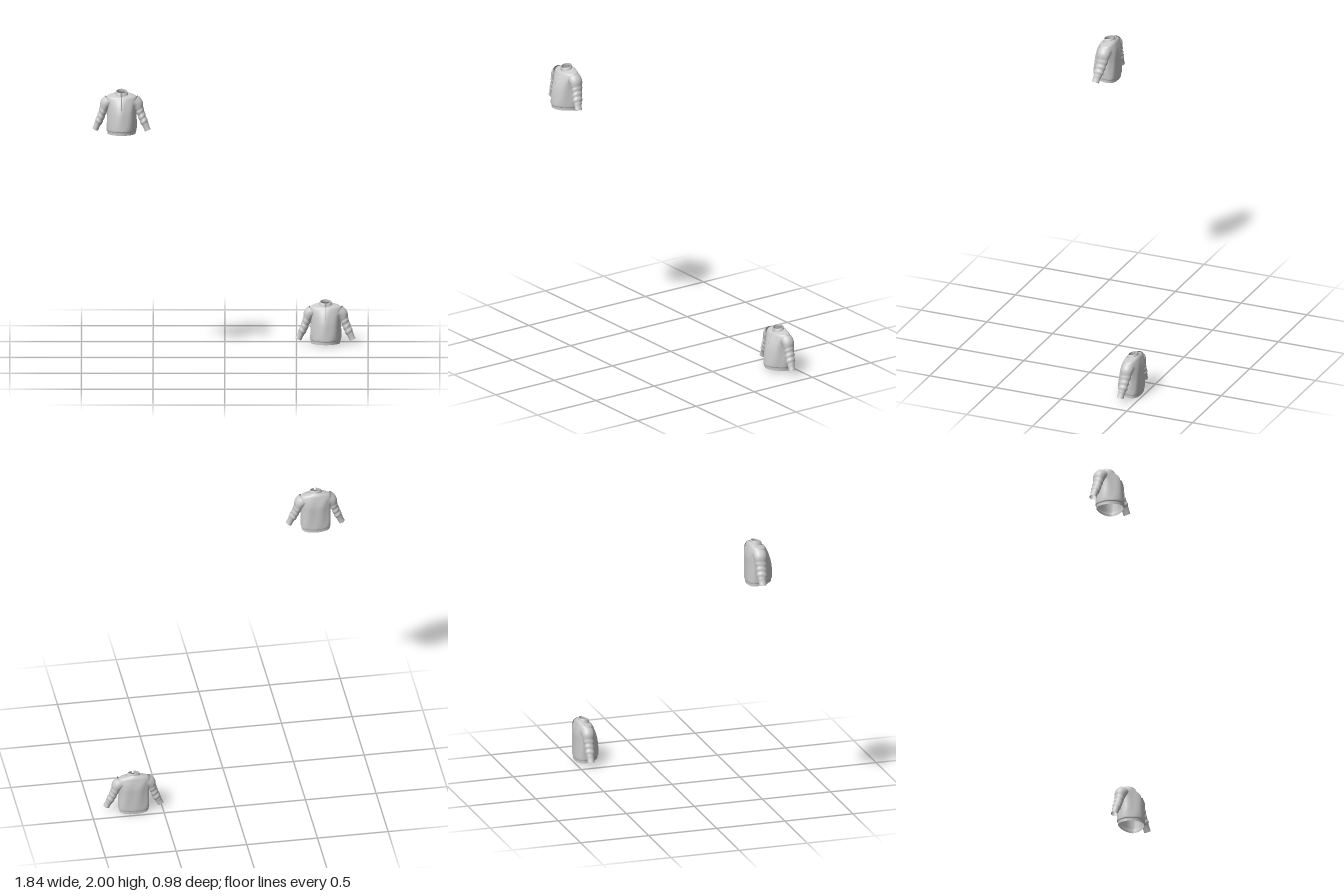
import * as THREE from 'three';

const material = new THREE.MeshStandardMaterial({ color: 0xcccccc, side: THREE.DoubleSide });

// Smooth interpolation through table rows, t in 0..1
function sample(rows, t) {
  const f = Math.min(Math.max(t, 0), 1) * (rows.length - 1);
  const i = Math.min(Math.floor(f), rows.length - 2), u = f - i;
  const at = k => rows[Math.min(Math.max(k, 0), rows.length - 1)];
  return rows[0].map((_, c) => {
    const [a, b, d, e] = [at(i - 1)[c], at(i)[c], at(i + 1)[c], at(i + 2)[c]];
    return b + 0.5 * u * (d - a + u * (2 * a - 5 * b + 4 * d - e + u * (3 * (b - d) + e - a)));
  });
}

// Skin of cross-sections: point(t, angle) -> Vector3; closed loops share their seam
function loft(name, point, rings, sides, from = 0, to = Math.PI * 2) {
  const closed = to - from > 6.28, cols = closed ? sides : sides + 1;
  const pos = [], index = [];
  for (let i = 0; i <= rings; i++) {
    for (let j = 0; j < cols; j++) pos.push(...point(i / rings, from + (to - from) * j / sides).toArray());
  }
  for (let i = 0; i < rings; i++) {
    for (let j = 0; j < sides; j++) {
      const k = (j + 1) % cols, a = i * cols + j, b = i * cols + k;
      index.push(a, a + cols, b, b, a + cols, b + cols);
    }
  }
  const g = new THREE.BufferGeometry();
  g.setAttribute('position', new THREE.Float32BufferAttribute(pos, 3));
  g.setIndex(index);
  g.computeVertexNormals();
  const mesh = new THREE.Mesh(g, material);
  mesh.name = name;
  return mesh;
}

// Rows: half width, back height, front height, back z, front z
const TORSO = [
  [0.099, -0.003, 0.012, -0.069, 0.107],
  [0.100, 0.018, 0.033, -0.070, 0.109],
  [0.105, 0.027, 0.042, -0.075, 0.115],
  [0.105, 0.080, 0.090, -0.075, 0.112],
  [0.102, 0.150, 0.155, -0.075, 0.103],
  [0.103, 0.200, 0.200, -0.075, 0.090],
  [0.107, 0.235, 0.233, -0.070, 0.076],
  [0.108, 0.262, 0.256, -0.063, 0.064],
  [0.098, 0.284, 0.268, -0.056, 0.057],
  [0.073, 0.295, 0.274, -0.048, 0.050],
  [0.046, 0.302, 0.278, -0.041, 0.043],
];
const COLLAR = [
  [0.046, 0.298, 0.274, -0.041, 0.043],
  [0.043, 0.307, 0.284, -0.040, 0.041],
  [0.038, 0.317, 0.300, -0.037, 0.036],
  [0.035, 0.316, 0.299, -0.034, 0.033],
  [0.037, 0.300, 0.278, -0.036, 0.036],
];

// Flat-backed oval section with a fuller front, rounder towards the neck
function section([w, yb, yf, zb, zf], angle, round) {
  const c = Math.cos(angle), s = Math.sin(angle);
  const z = s > 0 ? zf * s ** (1.3 - 0.3 * round) : zb * (-s) ** (0.55 + 0.45 * round);
  return new THREE.Vector3(w * c, (yb + yf) / 2 + (yf - yb) / 2 * s, z);
}

function torsoPoint(t, angle) {
  const p = section(sample(TORSO, t), angle, THREE.MathUtils.smoothstep(t, 0.6, 1));
  // Soft hanging folds, fading at the hem and the shoulders
  const fade = THREE.MathUtils.smoothstep(t, 0.15, 0.35) * (1 - THREE.MathUtils.smoothstep(t, 0.55, 0.8));
  const k = 1 + 0.022 * fade * Math.sin(angle * 7 + t * 5);
  return p.multiply(new THREE.Vector3(k, 1, k));
}

// Rows: radius in the front plane, radius front to back
const SLEEVE = [
  [0.045, 0.050], [0.041, 0.047], [0.031, 0.041], [0.028, 0.037],
  [0.027, 0.035], [0.027, 0.034], [0.022, 0.027], [0.022, 0.026],
];

function sleeve(name, side, handZ) {
  const path = new THREE.CatmullRomCurve3([
    [0.085, 0.241, 0], [0.108, 0.222, 0], [0.126, 0.178, 0.1],
    [0.144, 0.128, 0.4], [0.166, 0.075, 0.8], [0.184, 0.035, 1],
  ].map(([x, y, k]) => new THREE.Vector3(side * x, y, -0.004 + k * handZ)));
  const zAxis = new THREE.Vector3(0, 0, 1);
  return loft(name, (t, a) => {
    const dir = path.getTangentAt(t);
    const n = zAxis.clone().cross(dir).normalize(), b = n.clone().cross(dir);
    const [rn, rz] = sample(SLEEVE, t);
    // Slanted creases around the arm, plain at shoulder and cuff
    const fade = THREE.MathUtils.smoothstep(t, 0.2, 0.4) * (1 - THREE.MathUtils.smoothstep(t, 0.78, 0.85));
    const k = 1 + 0.06 * fade * Math.sin(t * 38 + 1.6 * Math.sin(a + side));
    return path.getPointAt(t).addScaledVector(n, rn * k * Math.cos(a)).addScaledVector(b, rz * k * Math.sin(a));
  }, 48, 28);
}

function sweater(name, leftHandZ, rightHandZ) {
  const g = new THREE.Group();
  g.name = name;
  g.add(loft('torso', torsoPoint, 60, 64));
  // Stand collar, left open at the front
  const gap = 0.16;
  g.add(loft('collar', (t, a) => section(sample(COLLAR, t), a, 1), 12, 40,
    Math.PI / 2 + gap, Math.PI * 2.5 - gap));
  g.add(sleeve('leftSleeve', 1, leftHandZ), sleeve('rightSleeve', -1, rightHandZ));
  // Short front zip below the collar
  const zipPath = new THREE.CatmullRomCurve3(
    Array.from({ length: 10 }, (_, i) => torsoPoint(0.47 + 0.53 * i / 9, Math.PI / 2)));
  const zip = new THREE.Mesh(new THREE.TubeGeometry(zipPath, 24, 0.002, 6), material);
  zip.name = 'zip';
  g.add(zip);
  return g;
}

export function createModel() {
  const model = new THREE.Group();
  model.name = 'sweaterPair';
  const upper = sweater('upperSweater', 0.03, -0.006);
  upper.position.set(-0.72, 1.683, 0.38);
  const lower = sweater('lowerSweater', 0.02, -0.003);
  lower.scale.set(1.03, 0.98, 0.92);
  lower.position.set(0.703, 0.003, -0.418);
  model.add(upper, lower);
  return model;
}
